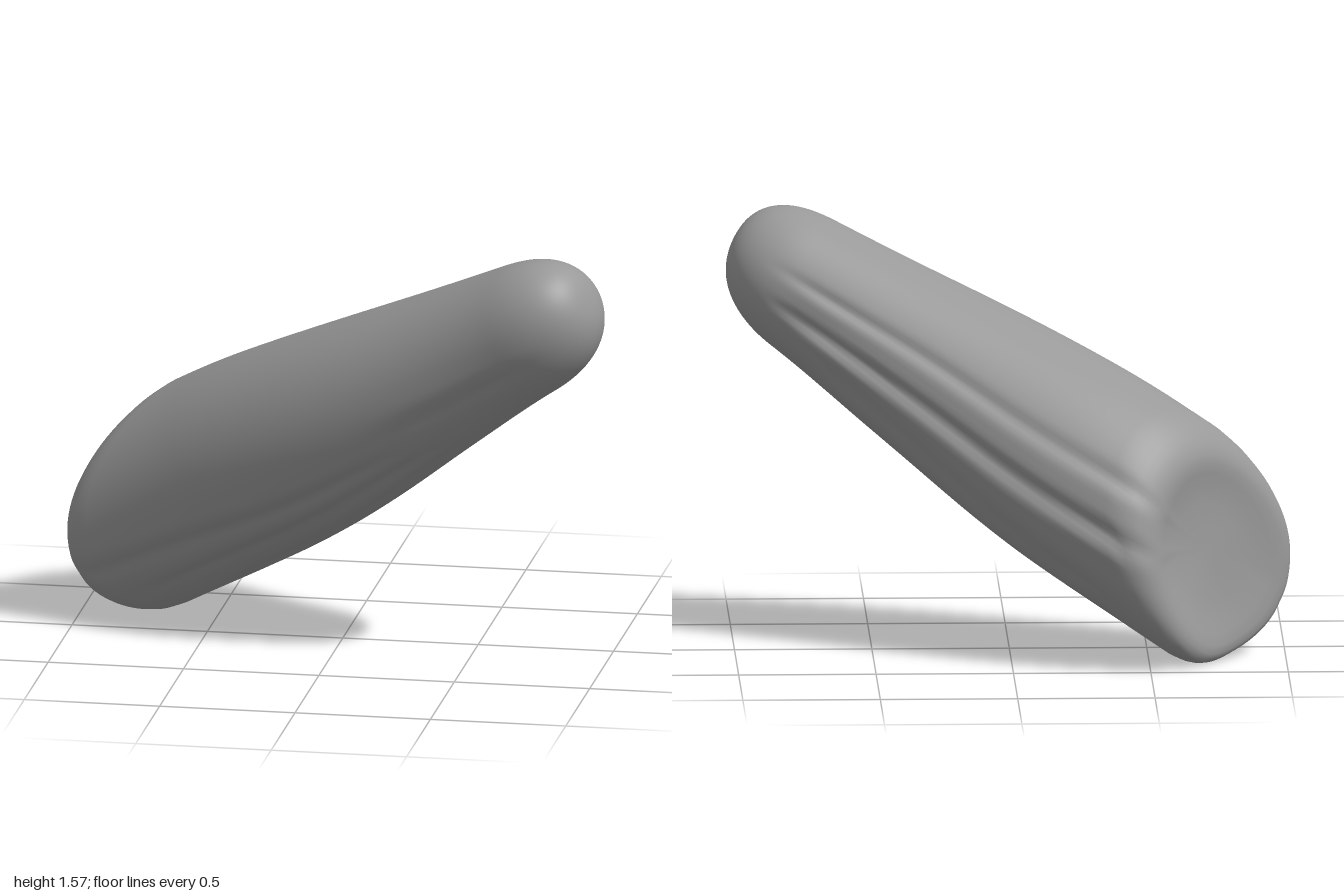
import * as THREE from 'three';
import { mergeVertices } from 'three/addons/utils/BufferGeometryUtils.js';

// Leaning axis of the body and the two directions across it
const origin = new THREE.Vector3(0, 0.83, 0.02);
const axis = new THREE.Vector3(0.81, 0.48, 0.33).normalize();
const U = new THREE.Vector3(-0.38, 0, 0.93).normalize();
const V = new THREE.Vector3().crossVectors(U, axis).normalize();
const cutNormal = new THREE.Vector3(-0.71, 0.08, -0.7).normalize();
const CUT = -0.94, TIP = 1.21, SIDES = 120, LENGTH = 90;
const { smoothstep, lerp } = THREE.MathUtils;

// Lengthwise creases: angle, drift along the axis, depth, width, start, end
const creases = [
  [-0.72, -0.28, 0.011, 0.1, -1.3, 0.4],
  [-1.05, -0.1, 0.012, 0.1, -1.1, 0.5],
  [-0.5, -0.1, 0.007, 0.14, 0.2, 1.1],
  [-1.45, 0.1, 0.01, 0.09, -1.2, 0.6],
  [2.75, 0.06, 0.012, 0.08, -0.9, 1.05],
  [3.25, 0.05, 0.022, 0.08, -0.95, 1.0],
  [3.75, -0.12, 0.008, 0.12, -0.9, 0.8],
  [4.3, 0.1, 0.008, 0.14, -1.0, 0.5],
];

// Lobes of the cut rim: angle, push along the axis
const lobes = [[0.4, -0.05], [1.2, 0.03], [4.1, -0.05], [4.9, 0.06]];

function radius(s, a) {
  let r = 0.392 - 0.157 * smoothstep(s, -0.5, 1.3);
  r *= 0.965 + 0.06 * Math.cos(2 * (a - 0.72));
  for (const [angle, drift, depth, width, from, to] of creases) {
    const d = a - angle - drift * s - 0.015 * Math.sin(6 * s + angle);
    const off = Math.atan2(Math.sin(d), Math.cos(d)) / width;
    const fade = smoothstep(s, from, from + 0.35) * (1 - smoothstep(s, to - 0.35, to));
    // a groove with a soft raised fold beside it
    r -= depth * fade * (Math.exp(-off * off) - 0.35 * Math.exp(-((off - 2) ** 2)));
  }
  // rounded tip
  const e = Math.max(0, (s - 0.9) / (TIP - 0.9));
  return r * Math.pow(Math.max(0, 1 - Math.pow(e, 2.4)), 1 / 2.4);
}

// Distance along the axis where the slanted cut meets angle a at radius r
function cutAt(a, r) {
  const across = U.clone().multiplyScalar(Math.cos(a)).addScaledVector(V, Math.sin(a));
  return CUT - r * across.dot(cutNormal) / axis.dot(cutNormal);
}

function rimPush(a) {
  return lobes.reduce((sum, [c, push]) => sum + push * Math.exp(4 * (Math.cos(a - c) - 1)), 0);
}

// Surface point; the body bows forward a little and its tip leans forward on top
function point(s, a, r) {
  const bow = 0.028 * Math.exp(-(((s - 0.15) / 0.6) ** 2));
  const lift = 0.02 * smoothstep(s, -0.2, 0.9);
  const lean = 0.15 * r * Math.cos(a - 1.38) * smoothstep(s, 0.5, 1.1);
  return origin.clone().addScaledVector(axis, s + lean)
    .addScaledVector(U, r * Math.cos(a) + bow).addScaledVector(V, r * Math.sin(a) + lift);
}

function bodyGeometry() {
  // Dished end and its rolled lip: share of the radius, inset along the axis
  const lip = [[0, 0.05], [0.2, 0.048], [0.4, 0.042], [0.55, 0.03], [0.66, 0.015], [0.75, 0.005],
    [0.82, 0.006], [0.88, 0.018], [0.925, 0.036], [0.96, 0.06], [0.985, 0.09]];
  const start = 0.13;
  const positions = [], index = [];
  const rings = lip.length + LENGTH + 1;
  for (let i = 0; i < rings; i++) {
    for (let j = 0; j < SIDES; j++) {
      const a = (j / SIDES) * Math.PI * 2;
      const full = radius(cutAt(a, 0.37), a);
      let s, r;
      if (i < lip.length) {
        const [share, inset] = lip[i];
        r = full * share;
        s = cutAt(a, r) + inset + share * share * rimPush(a);
      } else {
        const t = Math.sin(((i - lip.length) / LENGTH) * Math.PI / 2);
        s = lerp(cutAt(a, full) + start + rimPush(a), TIP, t);
        r = radius(s, a);
      }
      positions.push(...point(s, a, r).toArray());
      if (i < rings - 1) {
        const k = (j + 1) % SIDES, p = i * SIDES, q = p + SIDES;
        index.push(p + j, q + j, p + k, q + j, q + k, p + k);
      }
    }
  }
  let g = new THREE.BufferGeometry();
  g.setAttribute('position', new THREE.Float32BufferAttribute(positions, 3));
  g.setIndex(index);
  g = mergeVertices(g, 1e-5);

  // Centre it and stand it on the ground
  g.center();
  g.translate(0, -g.boundingBox.min.y, 0);
  g.computeVertexNormals();
  return g;
}

export function createModel() {
  const group = new THREE.Group();
  group.name = 'taperedStub';
  const body = new THREE.Mesh(bodyGeometry(), new THREE.MeshStandardMaterial({ color: 0x999999 }));
  body.name = 'creasedBody';
  group.add(body);
  return group;
}
